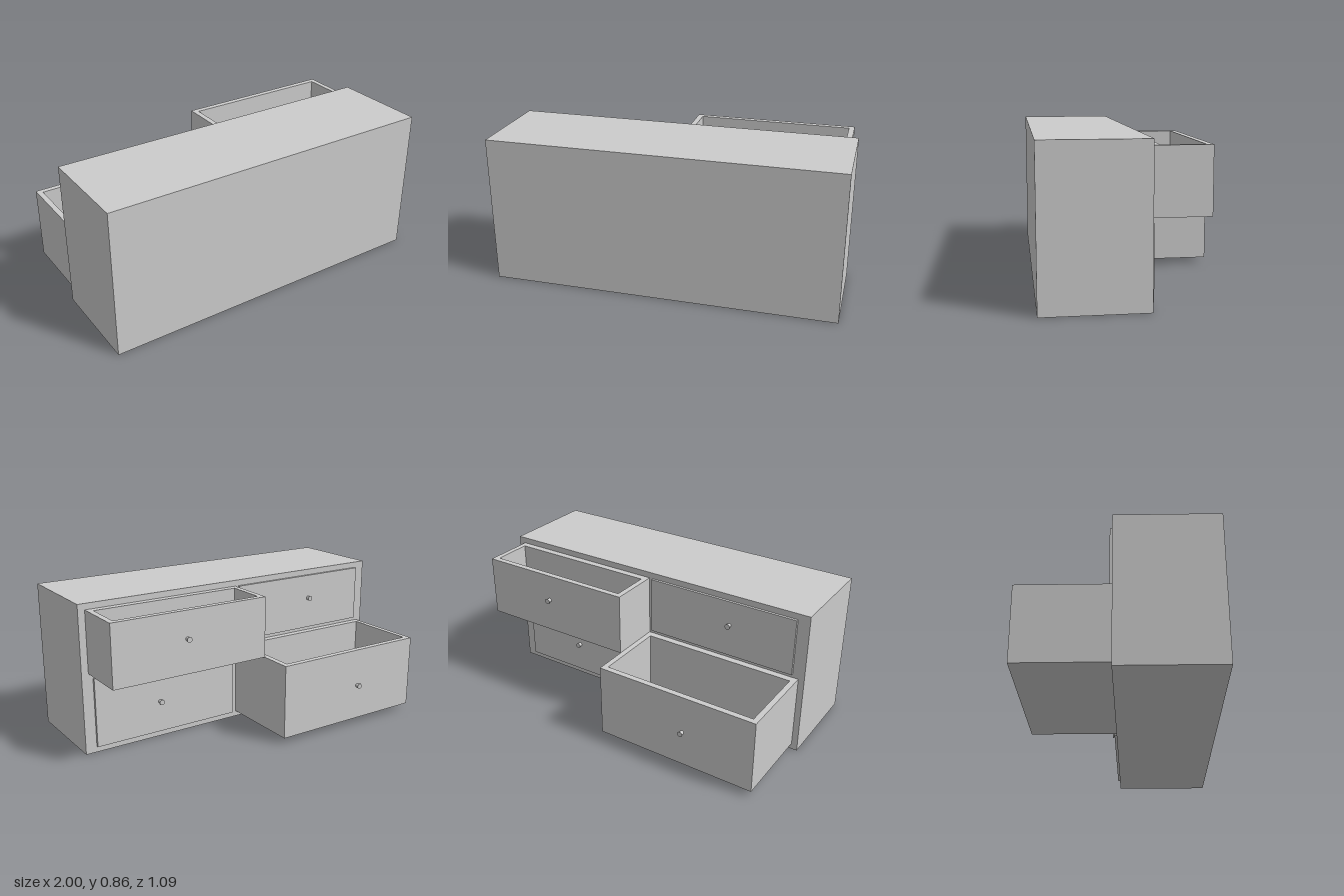
import * as THREE from 'three';

const material = new THREE.MeshStandardMaterial({ color: 0xcccccc });
const FACE = -0.025; // cabinet face that carries the drawers

// Box given by its minimum and maximum corners
function block(name, [x0, y0, z0], [x1, y1, z1]) {
  const mesh = new THREE.Mesh(new THREE.BoxGeometry(x1 - x0, y1 - y0, z1 - z0), material);
  mesh.position.set((x0 + x1) / 2, (y0 + y1) / 2, (z0 + z1) / 2);
  mesh.name = name;
  return mesh;
}

// Round pull with a slim stem and a thin wider cap, pointing to -z
function knob(x, y, z) {
  const profile = [[0.012, 0], [0.012, 0.019], [0.016, 0.021], [0.016, 0.024], [0, 0.024]];
  const points = [];
  // Doubled points keep the rim edges sharp
  profile.forEach(([r, h]) => points.push(new THREE.Vector2(r, h), new THREE.Vector2(r, h)));
  const mesh = new THREE.Mesh(new THREE.LatheGeometry(points.slice(1, -1), 16), material);
  mesh.rotation.x = -Math.PI / 2;
  mesh.position.set(x, y, z);
  mesh.name = 'knob';
  return mesh;
}

// Pulled-out drawer: a floor below an extruded rectangular wall ring
function openDrawer(name, x0, x1, y0, y1, zFront, knobX, knobY) {
  const group = new THREE.Group();
  group.name = name;
  const floor = 0.03;
  const side = 0.032;
  const rectangle = (a, b, c, d) => [[a, b], [c, b], [c, d], [a, d]].map(p => new THREE.Vector2(...p));
  // Shape y becomes -z once the ring is laid flat
  const ring = new THREE.Shape(rectangle(x0, -FACE, x1, -zFront));
  ring.holes.push(new THREE.Path(rectangle(x0 + side, 0.065, x1 - side, -zFront - 0.034)));
  const walls = new THREE.Mesh(
    new THREE.ExtrudeGeometry(ring, { depth: y1 - y0 - floor, bevelEnabled: false }), material);
  walls.rotation.x = -Math.PI / 2;
  walls.position.y = y0 + floor;
  walls.name = 'drawerWalls';
  group.add(
    walls,
    block('drawerFloor', [x0, y0, zFront], [x1, y0 + floor, FACE]),
    knob(knobX, knobY, zFront)
  );
  return group;
}

// Closed drawer: a panel standing slightly proud of the face
function closedDrawer(name, x0, x1, y0, y1, knobX, knobY) {
  const group = new THREE.Group();
  group.name = name;
  const zFront = -0.04;
  group.add(block('drawerPanel', [x0, y0, zFront], [x1, y1, FACE]), knob(knobX, knobY, zFront));
  return group;
}

export function createModel() {
  const model = new THREE.Group();
  model.name = 'dresser';
  model.add(
    block('cabinetBody', [-1, 0, FACE], [1, 0.86, 0.545]),
    openDrawer('upperLeftDrawer', 0.005, 0.96, 0.468, 0.825, -0.328, 0.515, 0.667),
    openDrawer('lowerRightDrawer', -0.965, 0.005, 0.035, 0.468, -0.525, -0.535, 0.245),
    closedDrawer('lowerLeftDrawer', 0.035, 0.935, 0.035, 0.437, 0.535, 0.22),
    closedDrawer('upperRightDrawer', -0.93, -0.018, 0.49, 0.825, -0.535, 0.68)
  );
  return model;
}
